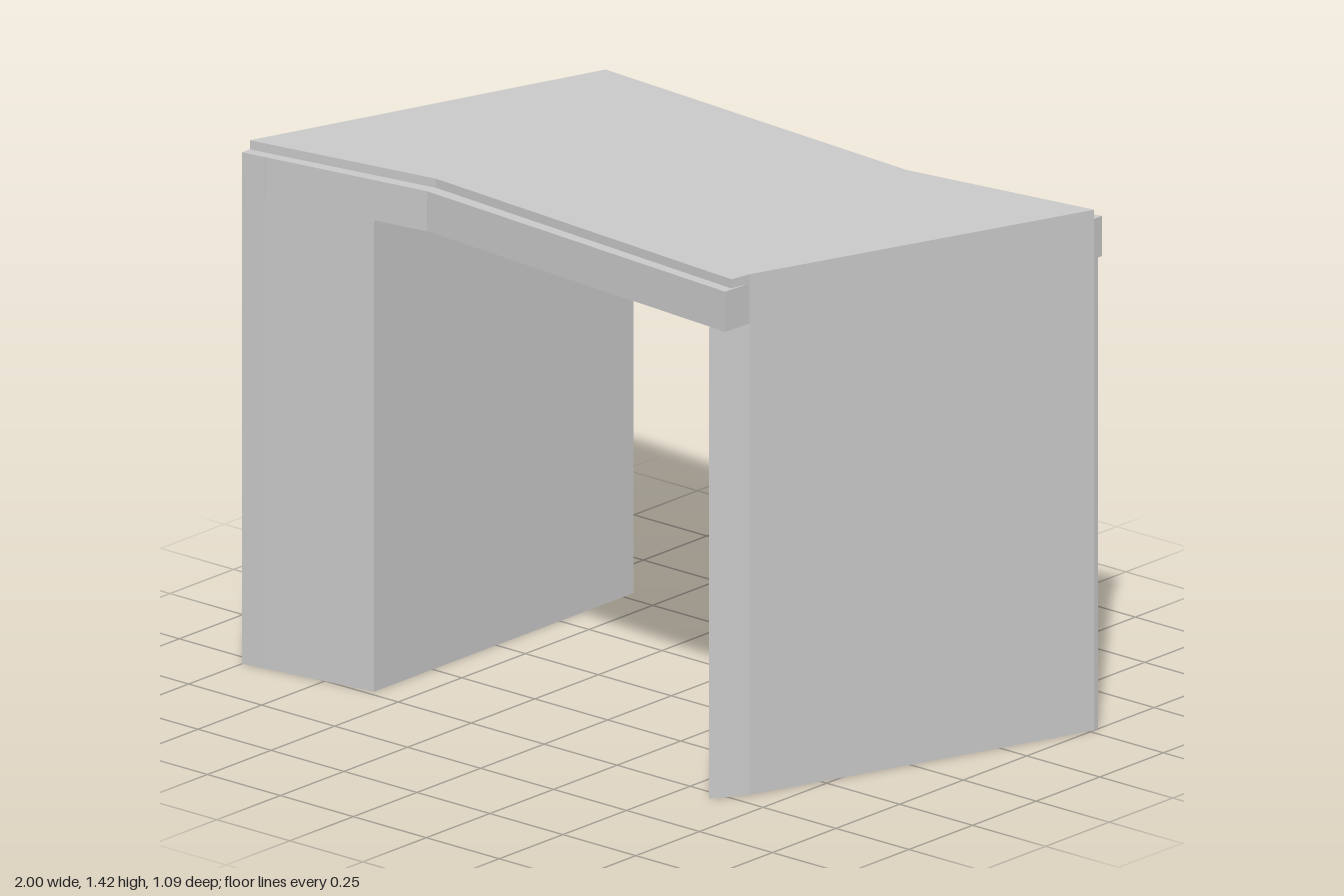
import * as THREE from 'three';

const material = new THREE.MeshStandardMaterial({ color: 0xcccccc, flatShading: true });

// Upright prism from a plan outline of [x, z] points, between two heights.
function prism(name, plan, bottom, top) {
  const shape = new THREE.Shape(plan.map(([x, z]) => new THREE.Vector2(x, -z)));
  const geometry = new THREE.ExtrudeGeometry(shape, { depth: top - bottom, bevelEnabled: false });
  geometry.rotateX(-Math.PI / 2);
  geometry.translate(0, bottom, 0);
  const mesh = new THREE.Mesh(geometry, material);
  mesh.name = name;
  return mesh;
}

export function createModel() {
  const group = new THREE.Group();
  group.name = 'portalBuilding';
  const legTop = 1.29, bandTop = 1.4, roofTop = 1.425;

  // Left wing: wedge-shaped plan, straight towards the passage, slanted outside
  group.add(prism('leftWing', [
    [-1, 0.54], [-0.6, 0.48], [-0.6, -0.54], [-0.66, -0.54], [-0.93, 0.31], [-0.985, 0.48],
  ], 0, legTop));

  // Corner pier standing proud of the slanted left wall
  group.add(prism('cornerPier', [
    [-1, 0.31], [-1, 0.54], [-0.93, 0.53], [-0.93, 0.31],
  ], 0, bandTop));

  // Right wing: the same wedge turned round, with a chamfered front end
  group.add(prism('rightWing', [
    [1, -0.53], [0.93, -0.53], [0.6, -0.48], [0.6, 0.54], [0.66, 0.45], [1, -0.515],
  ], 0, legTop));

  // Fascia band with kinked front and back edges
  group.add(prism('fasciaBand', [
    [-1, 0.54], [-0.44, 0.455], [0.655, 0.54], [0.66, 0.45], [1, -0.515],
    [1, -0.545], [0.43, -0.46], [-0.66, -0.54], [-0.67, -0.51], [-1, 0.51],
  ], legTop, bandTop));

  // Roof slab, set back from the band at front and back
  group.add(prism('roofSlab', [
    [-1, 0.51], [-0.44, 0.42], [0.65, 0.51], [0.66, 0.45],
    [1, -0.515], [0.43, -0.43], [-0.67, -0.51],
  ], bandTop, roofTop));

  return group;
}
